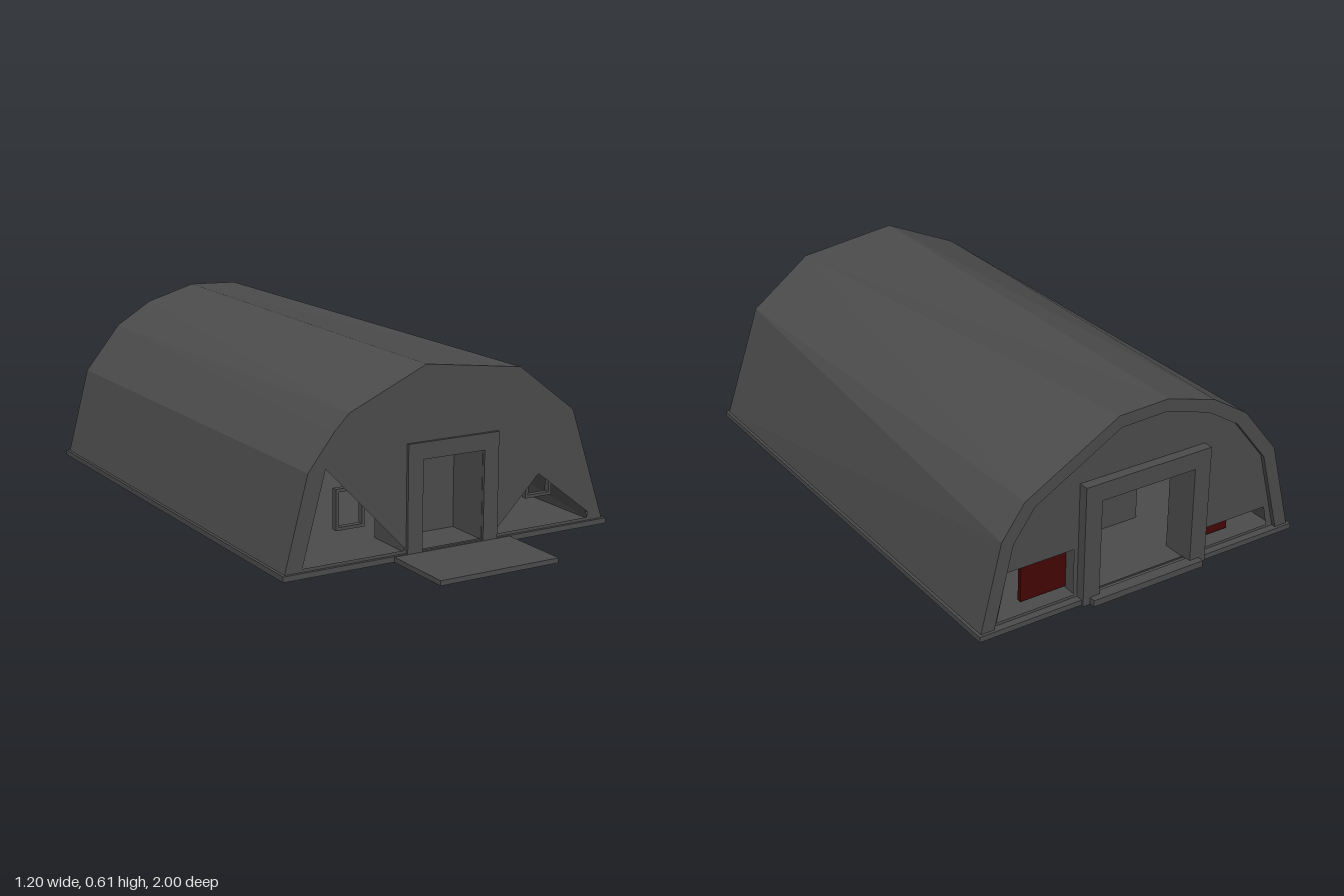
import * as THREE from 'three';

const grey = new THREE.MeshStandardMaterial({ color: 0x4c4c4c, side: THREE.DoubleSide });
grey.name = 'darkGrey';
const red = new THREE.MeshStandardMaterial({ color: 0x460606 });
red.name = 'darkRed';

const FRONT_Z = 0.735, BACK_Z = -0.96, BACK_WALL_Z = -0.945;
// Faceted arch outlines; a repeated point lets one corner fan out to two at the other end
const frontArch = [[-0.59, 0.02], [-0.51, 0.32], [-0.42, 0.435], [-0.37, 0.485], [-0.1, 0.605],
  [0.25, 0.56], [0.25, 0.56], [0.46, 0.4], [0.46, 0.4], [0.59, 0.02]];
const backArch = [[-0.59, 0.02], [-0.51, 0.32], [-0.38, 0.48], [-0.25, 0.56], [-0.07, 0.612],
  [0.11, 0.605], [0.44, 0.42], [0.44, 0.42], [0.52, 0.31], [0.59, 0.02]];
const inset = (arch) => arch.map(([x, y]) => [x * 0.92, 0.02 + (y - 0.02) * 0.93]);

function add(parent, name, geometry, material = grey) {
  const mesh = new THREE.Mesh(geometry, material);
  mesh.name = name;
  parent.add(mesh);
  return mesh;
}

// Box given by its limits on each axis
function block(parent, name, [x0, x1], [y0, y1], [z0, z1], material) {
  const mesh = add(parent, name, new THREE.BoxGeometry(x1 - x0, y1 - y0, z1 - z0), material);
  mesh.position.set((x0 + x1) / 2, (y0 + y1) / 2, (z0 + z1) / 2);
}

// Strip of flat facets between two outlines of equal length
function loft(a, za, b, zb) {
  const p = [];
  for (let i = 0; i < a.length - 1; i++) {
    const a0 = [...a[i], za], a1 = [...a[i + 1], za], b0 = [...b[i], zb], b1 = [...b[i + 1], zb];
    p.push(...a0, ...a1, ...b0, ...a1, ...b1, ...b0);
  }
  const g = new THREE.BufferGeometry();
  g.setAttribute('position', new THREE.Float32BufferAttribute(p, 3));
  g.computeVertexNormals();
  return g;
}

const outline = (pts) => pts.map(([x, y]) => new THREE.Vector2(x, y));

// Flat end wall with openings cut through
function wall(parent, name, arch, holes, z) {
  const shape = new THREE.Shape(outline(arch));
  holes.forEach((h) => shape.holes.push(new THREE.Path(outline(h))));
  add(parent, name, new THREE.ShapeGeometry(shape)).position.z = z;
}

// Door surround: two posts and a lintel
function doorFrame(parent, name, outer, inner, top, innerTop, z) {
  const frame = new THREE.Group();
  frame.name = name;
  block(frame, 'rightPost', [-outer, -inner], [0, innerTop], z);
  block(frame, 'leftPost', [inner, outer], [0, innerTop], z);
  block(frame, 'lintel', [-outer, outer], [innerTop, top], z);
  parent.add(frame);
}

export function createModel() {
  const model = new THREE.Group();
  model.name = 'archedHut';

  // Ground slab, walkway and rear step
  block(model, 'floorSlab', [-0.6, 0.6], [0.002, 0.02], [-0.97, 0.745]);
  block(model, 'walkway', [-0.215, 0.215], [0.002, 0.018], [0.745, 1]);
  block(model, 'rearStep', [-0.21, 0.21], [0.003, 0.025], [-1, -0.96]);

  // Arched roof with an inner lining and a rim at the rear
  const innerBack = inset(backArch);
  add(model, 'roofShell', loft(frontArch, FRONT_Z, backArch, BACK_Z));
  add(model, 'roofLining', loft(inset(frontArch), FRONT_Z - 0.01, innerBack, BACK_Z));
  add(model, 'rearRim', loft(backArch, BACK_Z, innerBack, BACK_Z));

  // End walls
  wall(model, 'frontWall', frontArch, [
    [[-0.53, 0.03], [-0.45, 0.325], [-0.175, 0.04], [-0.175, 0.03]],
    [[0.175, 0.03], [0.175, 0.05], [0.33, 0.205], [0.53, 0.05], [0.53, 0.03]],
    [[-0.114, 0.025], [-0.114, 0.312], [0.112, 0.312], [0.112, 0.025]],
  ], FRONT_Z);
  wall(model, 'rearWall', innerBack, [
    [[-0.515, 0.03], [-0.5, 0.1], [-0.25, 0.1], [-0.25, 0.03]],
    [[0.25, 0.03], [0.25, 0.19], [0.49, 0.19], [0.525, 0.03]],
    [[-0.175, 0.025], [-0.175, 0.345], [0.175, 0.345], [0.175, 0.025]],
  ], BACK_WALL_Z);

  // Front and rear doorways with recessed doors
  doorFrame(model, 'frontDoorFrame', 0.167, 0.113, 0.366, 0.312, [0.55, 0.745]);
  block(model, 'frontDoor', [-0.113, 0.113], [0.02, 0.312], [0.56, 0.575]);
  doorFrame(model, 'rearDoorFrame', 0.235, 0.175, 0.41, 0.35, [-0.978, -0.86]);
  block(model, 'rearDoor', [-0.2, 0.2], [0.02, 0.36], [-0.67, -0.655]);

  // Red panels and window frames on both sides of the doors
  block(model, 'frontPanel', [0.205, 0.25], [0.025, 0.09], [0.62, 0.635], red);
  for (const s of [-1, 1]) {
    const span = (a, b) => (s > 0 ? [a, b] : [-b, -a]);
    block(model, 'rearPanel', span(0.205, 0.4), [0.025, 0.245], [-0.885, -0.87], red);
    const win = new THREE.Group();
    win.name = 'windowFrame';
    block(win, 'outerJamb', span(0.39, 0.4), [0.12, 0.25], [0.69, 0.71]);
    block(win, 'innerJamb', span(0.3, 0.31), [0.12, 0.25], [0.69, 0.71]);
    block(win, 'sill', span(0.3, 0.4), [0.12, 0.13], [0.69, 0.71]);
    block(win, 'head', span(0.3, 0.4), [0.24, 0.25], [0.69, 0.71]);
    model.add(win);
  }
  return model;
}
